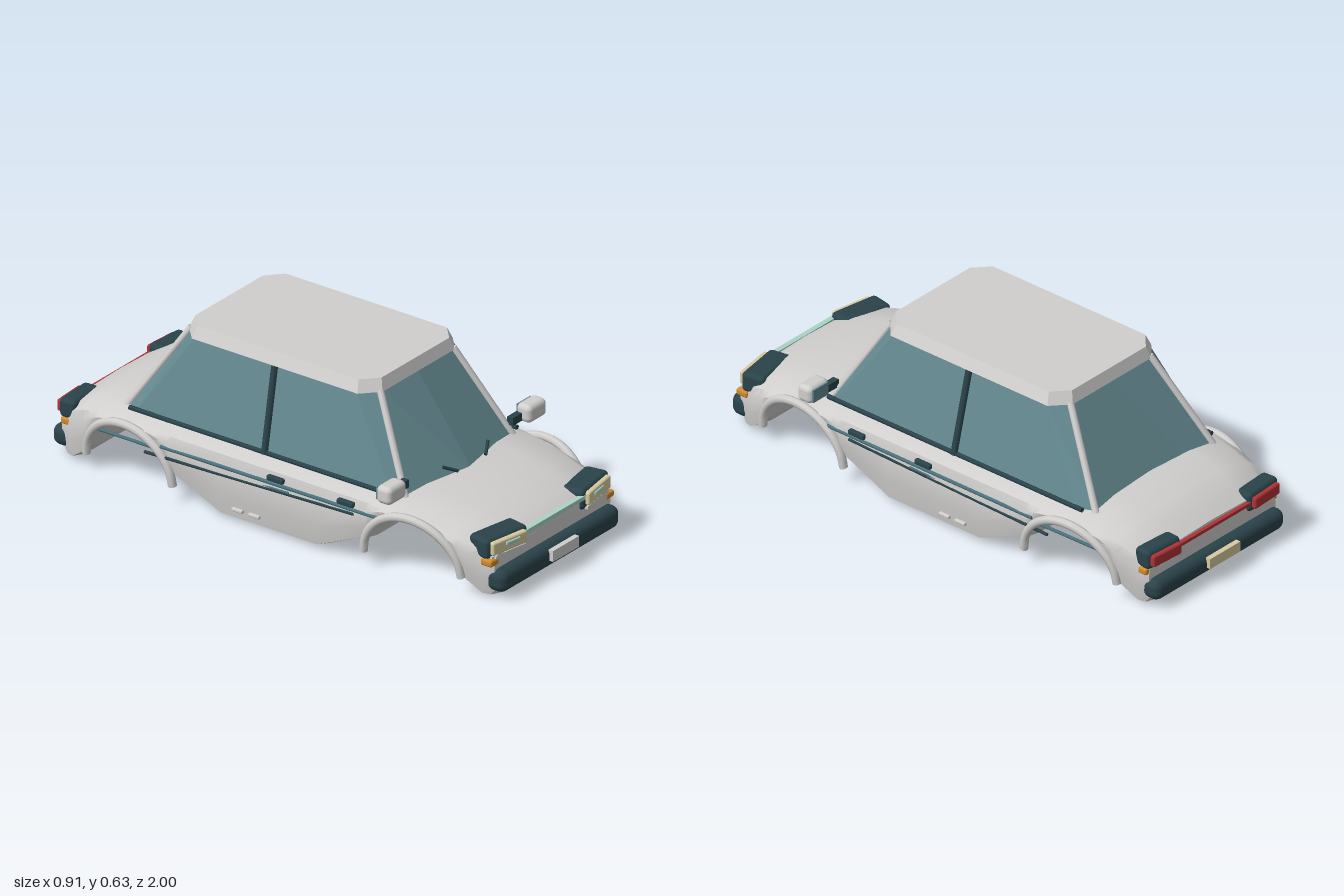
import * as THREE from 'three';
import { toCreasedNormals } from 'three/addons/utils/BufferGeometryUtils.js';
import { RoundedBoxGeometry } from 'three/addons/geometries/RoundedBoxGeometry.js';

const mat = (name, color) => Object.assign(new THREE.MeshStandardMaterial({ color }), { name });

export function createModel() {
  const car = new THREE.Group();
  car.name = 'car';
  const paint = mat('body paint', 0xd0cfce);
  paint.side = THREE.DoubleSide;
  const glass = mat('glass', 0x648990);
  const trim = mat('dark trim', 0x2a434a);
  const stripe = mat('teal stripe', 0x4a737d);
  const red = mat('tail lamp red', 0xb03336);
  const cream = mat('lamp cream', 0xd8cba0);
  const orange = mat('indicator orange', 0xd08a2c);
  const mint = mat('mint trim', 0xa9d3c4);

  const add = (name, geo, material, pos = [0, 0, 0], parent = car) => {
    const m = new THREE.Mesh(geo, material);
    m.name = name;
    m.position.set(...pos);
    parent.add(m);
    return m;
  };
  const box = (w, h, d, r = 0) => r ? new RoundedBoxGeometry(w, h, d, 3, r) : new THREE.BoxGeometry(w, h, d);
  // Straight round bar between two points
  const bar = (name, a, b, r, material) => {
    const A = new THREE.Vector3(...a), B = new THREE.Vector3(...b), d = B.clone().sub(A);
    const m = add(name, new THREE.CylinderGeometry(r, r, d.length(), 8), material);
    m.position.copy(A).add(B).multiplyScalar(0.5);
    m.quaternion.setFromUnitVectors(new THREE.Vector3(0, 1, 0), d.normalize());
  };
  // Skin over closed rings; the first ring runs counter-clockwise seen from outside
  const loft = (rings, crease) => {
    const n = rings[0].length, pos = rings.flat(2), idx = [];
    for (let i = 0; i < rings.length - 1; i++) for (let j = 0; j < n; j++) {
      const a = i * n + j, b = i * n + (j + 1) % n, c = b + n, d = a + n;
      idx.push(a, d, c, a, c, b);
    }
    const last = (rings.length - 1) * n;
    for (let j = 1; j < n - 1; j++) idx.push(0, j, j + 1, last, last + j + 1, last + j);
    const g = new THREE.BufferGeometry();
    g.setAttribute('position', new THREE.Float32BufferAttribute(pos, 3));
    g.setIndex(idx);
    return toCreasedNormals(g, crease);
  };

  // Lower body: cross-sections along z, open right through at the wheel arches
  const topLine = [[0.95, 0.2], [0.9, 0.225], [0.8, 0.25], [0.7, 0.268], [0.5, 0.293],
    [-0.62, 0.295], [-0.75, 0.283], [-0.85, 0.26], [-0.95, 0.2]];
  const topY = (z) => {
    const i = Math.max(1, topLine.findIndex((p) => p[0] <= z));
    const [a, b] = [topLine[i - 1], topLine[i]];
    return a[1] + (b[1] - a[1]) * (z - a[0]) / (b[0] - a[0]);
  };
  const width = (z) => 0.405 - 0.07 * Math.pow(Math.abs(z) / 0.94, 5);
  const AZ = 0.615, AY = 0.055;
  const half = [[0.94, 0.03], [0.92, 0], [0.89, 0], [0.83, 0.045]];
  for (let i = 0; i <= 12; i++) {
    const t = 0.12 + (i / 12) * (Math.PI - 0.36);
    half.push([AZ + 0.195 * Math.cos(t), AY + 0.175 * Math.sin(t)]);
  }
  half.push([0.41, 0.095], [0.21, 0]);
  const stations = [...half, ...half.map(([z, y]) => [-z, y]).reverse()];
  const section = ([z, yb]) => {
    const yt = topY(z), w = width(z), ys = Math.max(yb + 0.003, yt - 0.045), h = ys - yb;
    const pts = [[0, yb], [0.8 * w, yb], [0.96 * w, yb + 0.08 * h], [0.99 * w, yb + 0.4 * h],
      [w, yb + 0.75 * h], [0.97 * w, ys], [0.86 * w, yt - 0.02], [0.5 * w, yt - 0.005], [0, yt]];
    const mirror = pts.slice(1, -1).reverse().map(([x, y]) => [-x, y]);
    return [...pts, ...mirror].map(([x, y]) => [x, y, z]);
  };
  add('body', loft(stations.map(section), 0.7), paint);

  // Cabin rings: side x, corner x, then side / corner / centre z at front and rear
  const cabinRing = (y, s, c, f, r) => [[s, f[0]], [s, r[0]], [c, r[1]], [0, r[2]], [-c, r[1]],
    [-s, r[0]], [-s, f[0]], [-c, f[1]], [0, f[2]], [c, f[1]]].map(([x, z]) => [x, y, z]);
  add('windows', loft([
    cabinRing(0.59, 0.27, 0.205, [0.29, 0.35, 0.35], [-0.41, -0.47, -0.47]),
    cabinRing(0.26, 0.345, 0.31, [0.51, 0.54, 0.6], [-0.62, -0.68, -0.675]),
  ], 0.05), glass);
  add('roof', loft([
    cabinRing(0.63, 0.255, 0.195, [0.29, 0.345, 0.345], [-0.41, -0.465, -0.465]),
    cabinRing(0.585, 0.275, 0.21, [0.3, 0.36, 0.36], [-0.42, -0.48, -0.48]),
  ], 0.05), paint);

  for (const s of [1, -1]) {
    // Pillars and window frames
    bar('frontPillar', [s * 0.21, 0.59, 0.35], [s * 0.31, 0.265, 0.535], 0.013, paint);
    bar('rearPillar', [s * 0.21, 0.59, -0.47], [s * 0.31, 0.265, -0.675], 0.013, paint);
    bar('centrePillar', [s * 0.275, 0.585, -0.06], [s * 0.345, 0.275, -0.052], 0.013, trim);
    bar('windowSill', [s * 0.342, 0.28, 0.53], [s * 0.342, 0.28, -0.64], 0.009, trim);

    // Wheel arch lips following the flank
    for (const e of [1, -1]) {
      const pts = [];
      for (let i = 0; i <= 12; i++) {
        const t = 0.03 + (i / 12) * (Math.PI - 0.06), z = AZ + 0.2 * Math.cos(t);
        pts.push(new THREE.Vector3(s * (width(z) - 0.012 + 0.016 * Math.sin(t)), AY + 0.188 * Math.sin(t), e * z));
      }
      add('wheelArch', new THREE.TubeGeometry(new THREE.CatmullRomCurve3(pts), 32, 0.016, 8), paint);
    }

    // Flank stripes, handles and sill vents
    bar('upperStripe', [s * 0.401, 0.208, 0.5], [s * 0.401, 0.205, -0.46], 0.007, stripe);
    bar('lowerStripe', [s * 0.403, 0.193, 0.38], [s * 0.401, 0.164, -0.53], 0.006, trim);
    bar('rearStripe', [s * 0.402, 0.19, 0.1], [s * 0.378, 0.178, -0.76], 0.006, stripe);
    for (const z of [0.345, 0.04]) add('doorHandle', box(0.022, 0.02, 0.072, 0.006), trim, [s * 0.4, 0.226, z]);
    for (const z of [-0.055, -0.128]) add('sillVent', box(0.02, 0.014, 0.048, 0.005), paint, [s * 0.396, 0.055, z]);

    // Door mirrors
    add('mirrorArm', box(0.09, 0.03, 0.025), trim, [s * 0.345, 0.32, 0.53]);
    add('mirrorHousing', box(0.104, 0.068, 0.065, 0.02), paint, [s * 0.404, 0.331, 0.545]);
    add('mirrorGlass', box(0.08, 0.05, 0.006), glass, [s * 0.404, 0.331, 0.512]);

    bar('wiper', [s * 0.08, 0.296, 0.59], [s * 0.13, 0.322, 0.562], 0.006, trim);

    // Head lamps, swept back at the outer end
    const head = new THREE.Group();
    head.name = 'headLamp';
    head.position.set(s * 0.25, 0.19, 0.9);
    head.rotation.y = s * 0.17;
    car.add(head);
    add('headLampHousing', box(0.2, 0.078, 0.095, 0.018), trim, [0, 0, -0.008], head);
    add('headLampLens', box(0.165, 0.05, 0.04, 0.008), cream, [0, 0.004, 0.035], head);
    add('headLampBadge', box(0.068, 0.016, 0.012, 0.005), mint, [-s * 0.012, 0.01, 0.054], head);
    add('headLampStrip', box(0.165, 0.01, 0.025), paint, [0, -0.03, 0.035], head);

    // Tail lamps
    const tail = new THREE.Group();
    tail.name = 'tailLamp';
    tail.position.set(s * 0.262, 0.19, -0.925);
    tail.rotation.y = -s * 0.06;
    car.add(tail);
    add('tailLampHousing', box(0.165, 0.075, 0.07, 0.018), trim, [0, 0, 0.008], tail);
    add('tailLampLens', box(0.14, 0.045, 0.035, 0.008), red, [0, 0, -0.025], tail);

    add('frontIndicator', box(0.046, 0.026, 0.05, 0.008), orange, [s * 0.333, 0.144, 0.918]);
    add('rearIndicator', box(0.046, 0.026, 0.04, 0.008), orange, [s * 0.325, 0.144, -0.918]);
  }

  // Bars between the lamps, bumpers and plates
  add('frontBar', box(0.34, 0.015, 0.02), mint, [0, 0.202, 0.945]);
  add('rearBar', box(0.38, 0.012, 0.016), red, [0, 0.19, -0.947]);
  add('frontBumper', box(0.685, 0.086, 0.085, 0.032), trim, [0, 0.073, 0.942]);
  add('rearBumper', box(0.685, 0.08, 0.08, 0.032), trim, [0, 0.073, -0.945]);
  add('frontPlate', box(0.15, 0.042, 0.02), paint, [0, 0.084, 0.99]);
  add('rearPlate', box(0.16, 0.04, 0.02), cream, [0, 0.084, -0.99]);

  return car;
}
